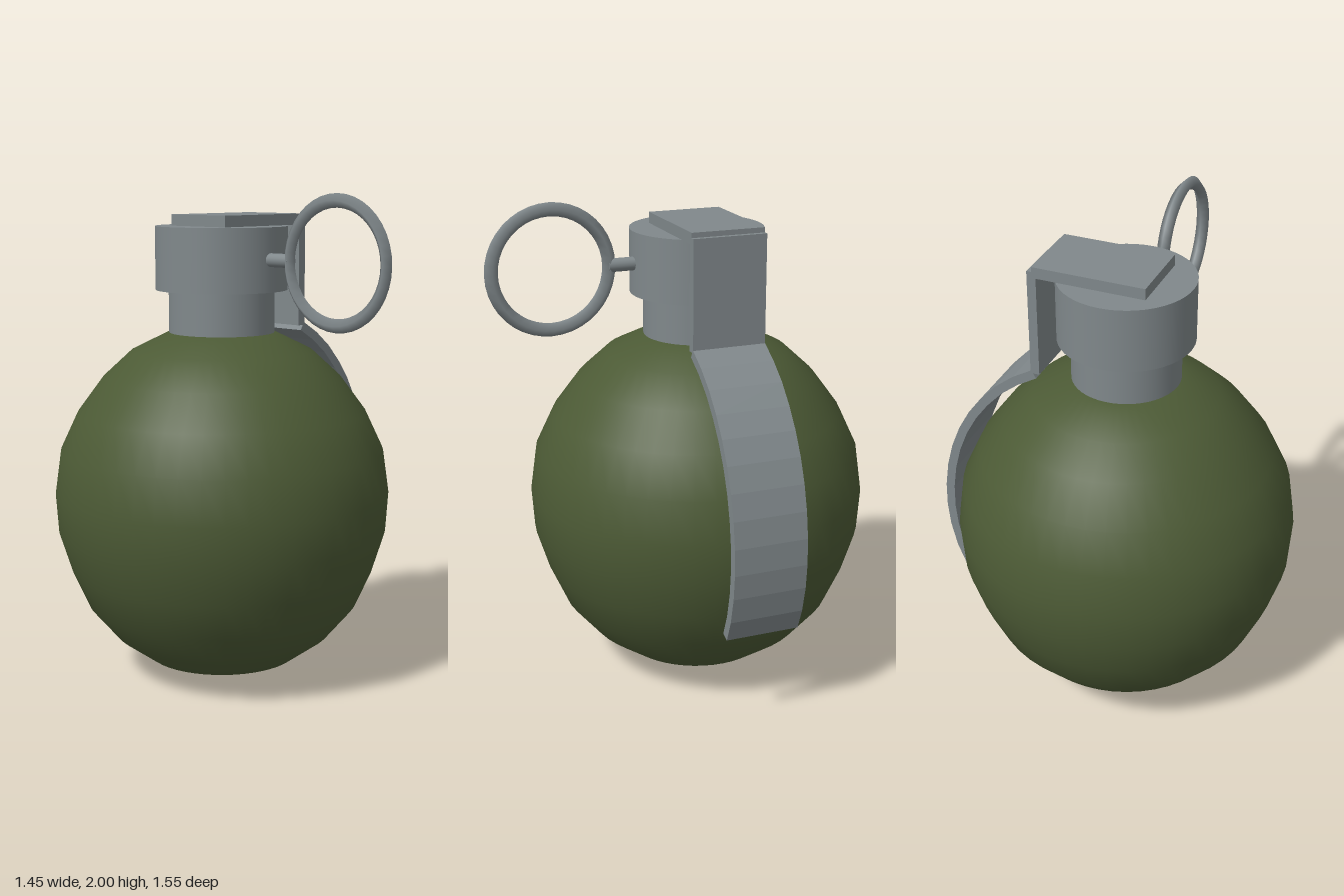
import * as THREE from 'three';

const CX = -0.04, CZ = -0.088;   // vertical axis of the body
const steel = new THREE.MeshStandardMaterial({ color: 0x80888b });
const steelFlat = new THREE.MeshStandardMaterial({ color: 0x80888b, flatShading: true });
const green = new THREE.MeshStandardMaterial({ color: 0x4c5a35 });

function add(group, name, geometry, material, x, y, z) {
  const mesh = new THREE.Mesh(geometry, material);
  mesh.name = name;
  mesh.position.set(x, y, z);
  group.add(mesh);
  return mesh;
}

// Constant-thickness strip: outer edge given top to bottom, inner edge offset along the normals
function stripGeometry(points, thickness, width) {
  const outer = points.map(([x, y]) => new THREE.Vector2(x, y));
  const inner = outer.map((p, i) => {
    const a = outer[Math.max(i - 1, 0)], b = outer[Math.min(i + 1, outer.length - 1)];
    const t = b.clone().sub(a).normalize();
    return new THREE.Vector2(p.x + t.y * thickness, p.y - t.x * thickness);
  });
  const shape = new THREE.Shape([...outer, ...inner.reverse()]);
  return new THREE.ExtrudeGeometry(shape, { depth: width, bevelEnabled: false }).translate(0, 0, -width / 2);
}

export function createModel() {
  const model = new THREE.Group();
  model.name = 'grenade';

  // Rounded body, narrowing slightly towards the neck
  const profile = [
    [0, 0.005], [0.16, 0.025], [0.312, 0.08], [0.45, 0.18], [0.56, 0.31], [0.627, 0.46], [0.677, 0.62],
    [0.688, 0.785], [0.663, 0.96], [0.59, 1.115], [0.485, 1.257], [0.37, 1.363], [0.22, 1.437], [0, 1.46],
  ].map(([r, y]) => new THREE.Vector2(r, y));
  add(model, 'body', new THREE.LatheGeometry(profile, 48), green, CX, 0, CZ);

  // Neck and fuse cap
  add(model, 'neck', new THREE.CylinderGeometry(0.215, 0.215, 0.22, 48), steel, CX, 1.51, CZ);
  add(model, 'fuseCap', new THREE.CylinderGeometry(0.268, 0.268, 0.255, 48), steel, CX, 1.7375, CZ);

  // Safety lever: top plate, drop plate and curved grip
  const lever = new THREE.Group();
  lever.name = 'safetyLever';
  model.add(lever);
  const width = 0.3;
  add(lever, 'leverTop', new THREE.BoxGeometry(0.455, 0.045, width), steelFlat, 0.0525, 1.8875, CZ);
  add(lever, 'leverDrop', new THREE.BoxGeometry(0.037, 0.44, width), steelFlat, 0.2815, 1.67, CZ);
  const grip = [
    [0.297, 1.462], [0.38, 1.413], [0.46, 1.35], [0.53, 1.275], [0.588, 1.197], [0.638, 1.108], [0.677, 1.012],
    [0.704, 0.912], [0.72, 0.806], [0.723, 0.7], [0.714, 0.6], [0.69, 0.493], [0.655, 0.403],
  ];
  add(lever, 'leverGrip', stripGeometry(grip, 0.038, width), steelFlat, 0, 0, CZ);

  // Pin and pull ring
  const pin = add(model, 'pin', new THREE.CylinderGeometry(0.027, 0.027, 0.2, 16), steel, CX, 1.738, 0.185);
  pin.rotation.x = Math.PI / 2;
  const ring = add(model, 'pullRing', new THREE.TorusGeometry(0.235, 0.027, 4, 40), steel, CX - 0.002, 1.738, 0.515);
  ring.rotation.y = Math.PI / 2;

  return model;
}
